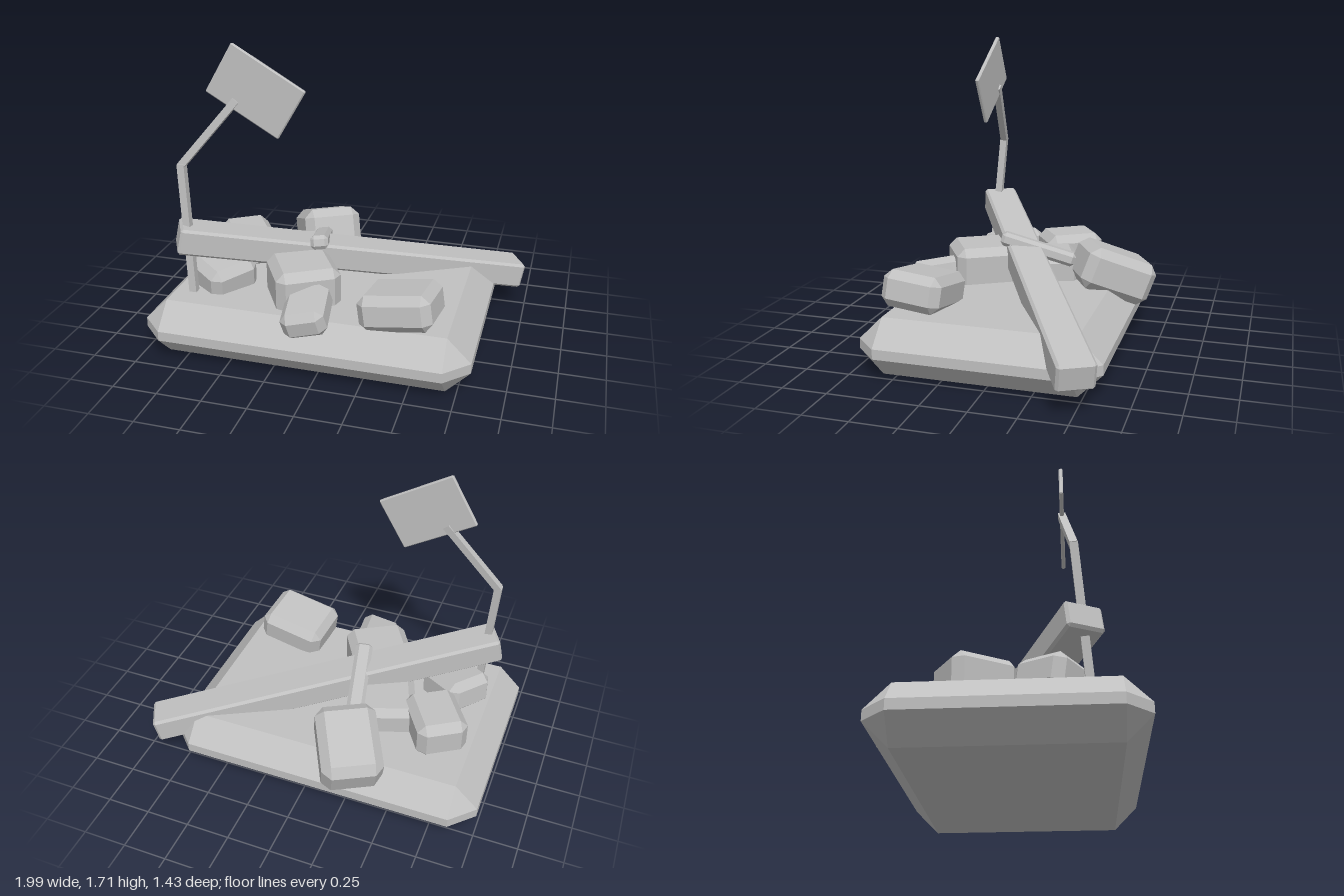
import * as THREE from 'three';
import { ConvexGeometry } from 'three/addons/geometries/ConvexGeometry.js';

const concrete = new THREE.MeshStandardMaterial({ color: 0xc0c0c0 });
concrete.name = 'concreteGrey';

// Box with every edge and corner chamfered by b
function chamferBox(w, h, d, b) {
  const half = [w / 2, h / 2, d / 2];
  const points = [];
  for (let axis = 0; axis < 3; axis++) {
    for (const sx of [-1, 1]) for (const sy of [-1, 1]) for (const sz of [-1, 1]) {
      const p = [sx, sy, sz].map((s, i) => s * (half[i] - (i === axis ? 0 : b)));
      points.push(new THREE.Vector3(...p));
    }
  }
  return new ConvexGeometry(points);
}

export function createModel() {
  const model = new THREE.Group();
  model.name = 'rubblePile';

  // rot = [tilt about x, yaw about y, roll about z]
  function block(name, size, bevel, pos, rot = [0, 0, 0], order = 'YXZ') {
    const mesh = new THREE.Mesh(chamferBox(...size, bevel), concrete);
    mesh.name = name;
    mesh.position.set(...pos);
    mesh.rotation.set(...rot, order);
    model.add(mesh);
    return mesh;
  }

  // Square bar between two points
  function bar(name, from, to, thickness) {
    const a = new THREE.Vector3(...from);
    const dir = new THREE.Vector3(...to).sub(a);
    const length = dir.length();
    const mesh = new THREE.Mesh(new THREE.BoxGeometry(thickness, length, thickness), concrete);
    mesh.name = name;
    mesh.position.copy(a).addScaledVector(dir, 0.5);
    mesh.quaternion.setFromUnitVectors(new THREE.Vector3(0, 1, 0), dir.normalize());
    model.add(mesh);
  }

  // Ground slab
  block('baseSlab', [1.82, 0.315, 1.31], 0.13, [-0.09, 0.1575, 0.055]);

  // Long fallen beam and the short plank across it
  block('fallenBeam', [2.07, 0.15, 0.2], 0.014, [0.045, 0.422, -0.05], [0, 0.486, -0.207]);
  block('shortPlank', [0.1, 0.08, 0.45], 0.02, [-0.16, 0.505, -0.035], [-0.3, 0.22, 0.1]);

  // Broken blocks
  const rubble = [
    ['rightBlock', [0.4, 0.2, 0.34], 0.045, [0.42, 0.4, 0.45], [-0.09, -0.08, 0.17]],
    ['middleBlock', [0.36, 0.26, 0.36], 0.045, [-0.165, 0.39, 0.31], [0, 0.53, 0]],
    ['frontBlock', [0.24, 0.16, 0.3], 0.04, [-0.07, 0.345, 0.55], [0.2, 0.15, 0.24]],
    ['backBlock', [0.34, 0.25, 0.43], 0.05, [-0.25, 0.38, -0.46], [-0.38, 0.5, 0]],
    ['leftBlock', [0.29, 0.22, 0.35], 0.045, [-0.645, 0.39, -0.11], [0, 0.57, 0]],
    ['leftFrontBlock', [0.3, 0.2, 0.32], 0.045, [-0.66, 0.37, 0.27], [0.12, 0.95, 0.08]],
    ['buriedBlock', [0.36, 0.24, 0.4], 0.04, [-0.31, 0.34, -0.03], [0, 0.35, 0]],
  ];
  for (const args of rubble) block(...args);

  // Bent signpost with its tilted plate
  bar('lowerPost', [-0.765, 0.27, 0.44], [-0.822, 1.045, 0.38], 0.042);
  bar('upperPost', [-0.825, 1.035, 0.38], [-0.51, 1.41, 0.325], 0.04);
  block('signPlate', [0.46, 0.31, 0.022], 0.006, [-0.403, 1.465, 0.326], [0, 0, -0.53]);

  return model;
}
